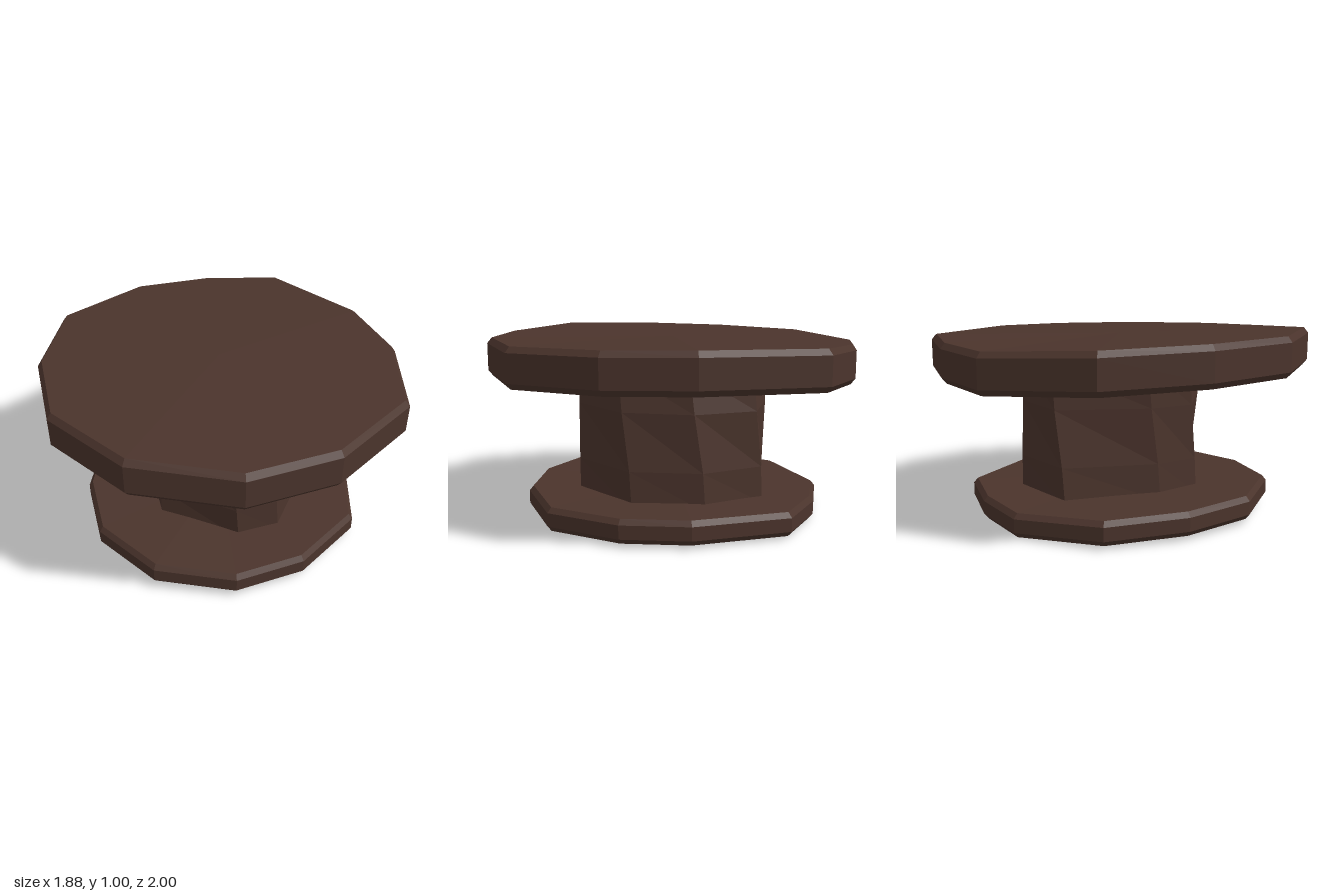
import * as THREE from 'three';

// Skin a stack of rings (bottom to top, same point count) and close both ends
function loft(rings) {
  const n = rings[0].length, pos = [], idx = [];
  rings.forEach(r => r.forEach(p => pos.push(...p)));
  for (let k = 0; k < rings.length - 1; k++) {
    for (let i = 0; i < n; i++) {
      const j = (i + 1) % n, a = k * n + i, b = k * n + j;
      idx.push(a, b, a + n, b, b + n, a + n);
    }
  }
  [rings[0], rings[rings.length - 1]].forEach((r, end) => {
    const c = pos.length / 3, off = end ? (rings.length - 1) * n : 0;
    pos.push(...[0, 1, 2].map(k => r.reduce((s, p) => s + p[k], 0) / n));
    for (let i = 0; i < n; i++) {
      const a = off + i, b = off + (i + 1) % n;
      if (end) idx.push(c, a, b); else idx.push(c, b, a);
    }
  });
  const g = new THREE.BufferGeometry();
  g.setAttribute('position', new THREE.Float32BufferAttribute(pos, 3));
  g.setIndex(idx);
  const flat = g.toNonIndexed();
  flat.computeVertexNormals();
  return flat;
}

// Hand-hewn slab outline, counter-clockwise from above: x, z, height offset
const outline = [
  [-0.2, -1, -0.025], [-0.71, -0.7, 0], [-0.92, -0.2, 0.015], [-0.94, 0.31, 0.025],
  [-0.68, 0.77, 0.035], [-0.2, 1, 0.01], [0.27, 0.97, 0.003], [0.75, 0.7, -0.003],
  [0.935, 0.21, 0], [0.92, -0.23, 0.003], [0.65, -0.82, -0.005], [0.23, -0.97, -0.017],
];

// Slab with chamfered upper and lower rims
function slab(y, height, scale, tilt, bevel, rim) {
  const ring = (h, inset) => outline.map(([x, z, dy]) => {
    const s = scale - inset;
    return [x * s, y + h + dy * tilt, z * s];
  });
  return loft([
    ring(0, bevel), ring(rim, 0), ring(height - rim, 0), ring(height, bevel),
  ]);
}

// Column cross-section, same winding as the slabs
const section = [
  [0.25, -0.5], [-0.14, -0.5], [-0.38, -0.05], [-0.4, 0.2],
  [-0.06, 0.5], [0.17, 0.5], [0.46, 0.17], [0.45, -0.21],
];

// Column that twists and narrows towards the top
function column() {
  const levels = [ // y, twist, x scale, x shift
    [0.1, -0.03, 1.01, 0], [0.3, 0, 0.99, 0], [0.6, 0.1, 0.95, -0.01], [0.82, 0.16, 0.91, -0.03],
  ];
  return loft(levels.map(([y, t, sx, dx]) => section.map(([x, z]) => [
    (x * Math.cos(t) - z * Math.sin(t)) * sx + dx, y, x * Math.sin(t) + z * Math.cos(t),
  ])));
}

export function createModel() {
  const group = new THREE.Group();
  const wood = new THREE.MeshStandardMaterial({ color: 0x4b342c });
  wood.name = 'darkWood';
  wood.flatShading = true;
  const add = (name, geometry) => {
    const mesh = new THREE.Mesh(geometry, wood);
    mesh.name = name;
    group.add(mesh);
  };
  add('base', slab(0.015, 0.125, 0.805, 0.6, 0.022, 0.027));
  add('column', column());
  add('tableTop', slab(0.76, 0.205, 1, 1, 0.024, 0.03));
  return group;
}
